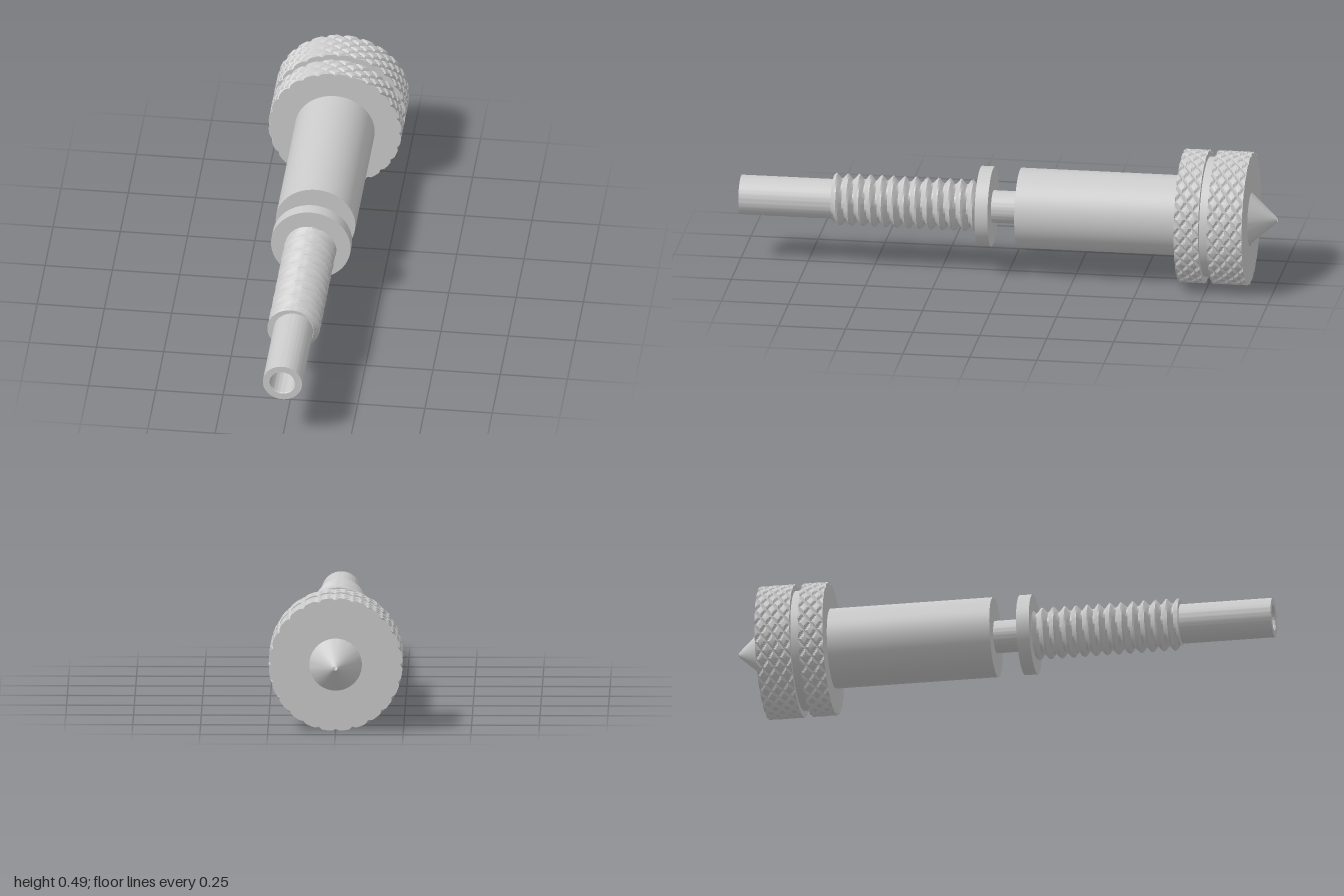
import * as THREE from 'three';
import { toCreasedNormals } from 'three/addons/utils/BufferGeometryUtils.js';

const AXIS_Y = 0.247;
const material = new THREE.MeshStandardMaterial({ color: 0xcccccc });

// Solid of revolution about z from [radius, z] pairs
function turned(name, pairs) {
  const points = pairs.map(([r, z]) => new THREE.Vector2(r, z));
  const geometry = new THREE.LatheGeometry(points, 72).rotateX(Math.PI / 2);
  const mesh = new THREE.Mesh(toCreasedNormals(geometry, 0.5), material);
  mesh.name = name;
  return mesh;
}

// Plain disc or shaft between two z positions
const shaft = (name, r, z0, z1) => turned(name, [[0, z0], [r, z0], [r, z1], [0, z1]]);

// Closed sleeve about z; at(angle, row) returns [radius, z]
function sleeve(name, columns, rows, at) {
  const positions = [], index = [];
  for (let k = 0; k <= rows; k++) {
    for (let j = 0; j < columns; j++) {
      const angle = (j / columns) * Math.PI * 2;
      // the last column wraps to the first, so each row is a ring
      const [r, z] = at(angle, k);
      positions.push(r * Math.cos(angle), r * Math.sin(angle), z);
      if (k === rows) continue;
      const a = k * columns + j, b = k * columns + (j + 1) % columns;
      index.push(a, b, b + columns, a, b + columns, a + columns);
    }
  }
  const geometry = new THREE.BufferGeometry();
  geometry.setAttribute('position', new THREE.Float32BufferAttribute(positions, 3));
  geometry.setIndex(index);
  const mesh = new THREE.Mesh(toCreasedNormals(geometry, 0.45), material);
  mesh.name = name;
  return mesh;
}

// Distance to the nearest whole number, 0 to 0.5
const toWhole = (t) => Math.abs(t - Math.round(t));

// Band cut by two crossing sets of helical grooves, with flat end faces
function knurl(name, z0, z1, cells) {
  const around = 24, rows = cells * 10, depth = 0.008;
  return sleeve(name, around * 10, rows + 2, (angle, k) => {
    if (k === 0) return [0.1, z0];
    if (k === rows + 2) return [0.1, z1];
    const v = (k - 1) / rows;
    const u = (angle / (Math.PI * 2)) * around;
    const d = Math.min(toWhole(u + v * cells), toWhole(u - v * cells));
    const r = 0.247 - depth * Math.max(0, 1 - d / 0.22);
    return [r, z0 + (z1 - z0) * v];
  });
}

// Right-handed V thread whose rows follow the helix and stop at flat ends
function thread(name, z0, z1, turns) {
  const pitch = (z1 - z0) / turns, steps = 6;
  const rows = (turns + 1) * steps;
  return sleeve(name, 72, rows * 1 + 2, (angle, k) => {
    if (k === 0) return [0.05, z0];
    if (k === rows + 2) return [0.05, z1];
    const lead = angle / (Math.PI * 2);
    // straight rows at the wrap keep the ring closed
    const z = z0 + ((k - 1) / rows) * (z1 - z0);
    const wave = toWhole((z - z0) / pitch - lead) * 2;
    return [0.074 + 0.023 * Math.min(1, wave * 1.1), z];
  });
}

export function createModel() {
  const model = new THREE.Group();
  const tool = new THREE.Group();
  tool.name = 'turnedAssembly';
  tool.position.y = AXIS_Y;
  model.add(tool);

  tool.add(
    // Hollow front tube with its bore narrowing to a pinhole at the back
    turned('frontTube', [
      [0.073, 0.1], [0.073, 1], [0.048, 1], [0.045, 0.995],
      [0.045, -0.9], [0.008, -0.9], [0.008, -1],
    ]),
    thread('threadedSection', 0.105, 0.655, 13),
    // Collar and narrow neck, open in the middle for the bore
    turned('collar', [[0.046, 0.06], [0.148, 0.06], [0.148, 0.108], [0.046, 0.108]]),
    turned('neck', [[0.06, -0.05], [0.06, 0.07]]),
    turned('barrel', [[0.046, -0.66], [0.148, -0.66], [0.148, -0.04], [0.046, -0.04]]),
    // Grip: two knurled bands either side of a smooth groove
    knurl('frontKnurl', -0.74, -0.648, 2),
    turned('gripGroove', [[0.222, -0.78], [0.222, -0.73]]),
    knurl('rearKnurl', -0.902, -0.772, 3),
    // Rear cone
    turned('rearCone', [[0.008, -1], [0.097, -0.9]]),
  );
  return model;
}
